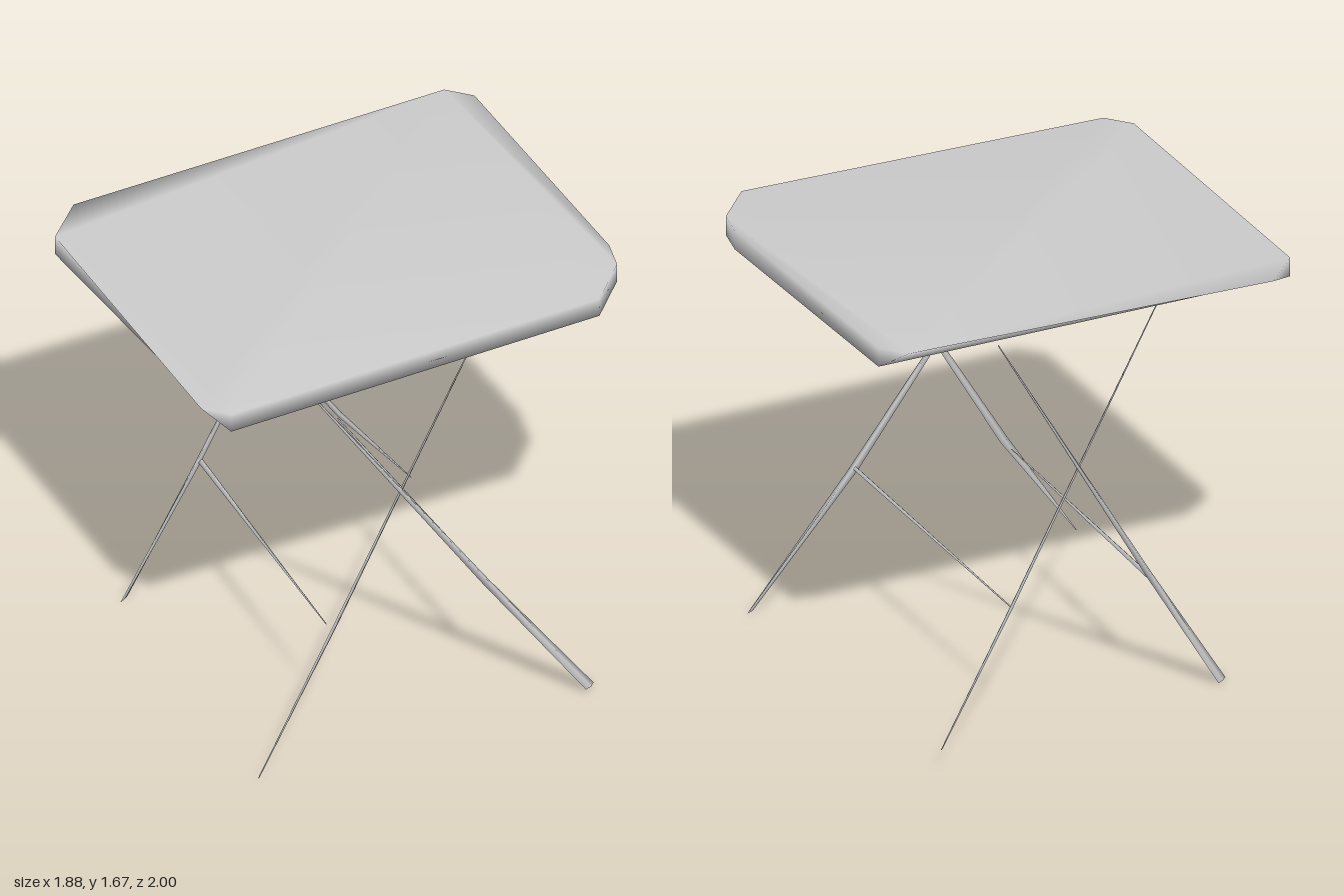
import * as THREE from 'three';
import { mergeVertices } from 'three/addons/utils/BufferGeometryUtils.js';

const grey = new THREE.MeshStandardMaterial({ color: 0xcccccc, side: THREE.DoubleSide });
grey.name = 'light grey';

// Closed skin over rings that all have the same number of points
function loft(name, rings) {
  const n = rings[0].length, last = (rings.length - 1) * n;
  const points = rings.flat(), faces = [];
  for (let r = 0; r < rings.length - 1; r++) {
    for (let i = 0; i < n; i++) {
      const a = r * n + i, b = r * n + (i + 1) % n;
      faces.push([a, b, b + n], [a, b + n, a + n]);
    }
  }
  for (let i = 1; i < n - 1; i++) faces.push([0, i + 1, i], [last, last + i, last + i + 1]);

  // Turn every face outward if the skin came out inside out
  const volume = faces.reduce((sum, [a, b, c]) => sum + points[a].dot(points[b].clone().cross(points[c])), 0);
  if (volume < 0) faces.forEach((f) => f.reverse());

  let geometry = new THREE.BufferGeometry().setFromPoints(points);
  geometry.setIndex(faces.flat());
  geometry = mergeVertices(geometry, 1e-4);
  geometry.computeVertexNormals();
  const mesh = new THREE.Mesh(geometry, grey);
  mesh.name = name;
  return mesh;
}

// Leg: each section is [x, y, z, half width in x, half width in z]
const leg = (name, sections) => loft(name, sections.map(([x, y, z, hx, hz]) => [
  new THREE.Vector3(x + hx, y, z), new THREE.Vector3(x, y, z + hz),
  new THREE.Vector3(x - hx, y, z), new THREE.Vector3(x, y, z - hz),
]));

// Crossbar: each section is [x, y, z, half thickness]
const bar = (name, sections) => loft(name, sections.map(([x, y, z, h]) => [
  new THREE.Vector3(x, y + h, z), new THREE.Vector3(x - h * 0.55, y, z + h * 0.84),
  new THREE.Vector3(x, y - h, z), new THREE.Vector3(x + h * 0.55, y, z - h * 0.84),
]));

export function createModel() {
  const model = new THREE.Group();
  model.name = 'foldingTable';

  // Slightly tilted slab with clipped corners, its underside a little smaller
  const slab = (y, outline) => outline.map(([x, z]) => new THREE.Vector3(x, y + 0.018 * x - 0.039 * z, z));
  const upper = [[-0.16, -0.98], [-0.05, -1], [0.81, -0.48], [0.89, -0.4], [0.94, -0.2],
    [0.17, 0.98], [0.06, 1], [-0.9, 0.39], [-0.94, 0.2]];
  const lower = [[-0.05, -1], [-0.05, -1], [0.81, -0.48], [0.89, -0.4], [0.94, -0.2],
    [0.17, 0.98], [0.17, 0.98], [-0.9, 0.39], [-0.9, 0.39]];
  model.add(loft('tableTop', [slab(1.57, lower), slab(1.642, upper)]));

  // Two crossed pairs of tapering legs
  model.add(leg('leftLegA', [[0.2, 1.54, 0.6, 0.003, 0.004], [0.65, 0.53, 0.075, 0.017, 0.018], [0.91, 0.03, -0.185, 0.006, 0.025]]));
  model.add(leg('leftLegB', [[0.585, 1.57, -0.035, 0.002, 0.008], [0.325, 0.5, 0.56, 0.004, 0.024], [0.22, 0.03, 0.88, 0.002, 0.002]]));
  model.add(leg('rightLegA', [[-0.3, 1.57, -0.6, 0.003, 0.003], [-0.595, 0.5, -0.06, 0.01, 0.018], [-0.745, 0.015, 0.185, 0.003, 0.025]]));
  model.add(leg('rightLegB', [[-0.565, 1.54, 0.1, 0.002, 0.004], [-0.315, 0.52, -0.535, 0.006, 0.014], [-0.22, 0.09, -0.86, 0.002, 0.002]]));

  // Crossbars joining the two pairs
  model.add(bar('frontCrossbar', [[-0.595, 0.503, -0.07, 0.011], [0.28, 0.492, 0.53, 0.002]]));
  model.add(bar('backCrossbar', [[0.64, 0.535, 0.07, 0.009], [-0.31, 0.51, -0.52, 0.003]]));
  return model;
}
